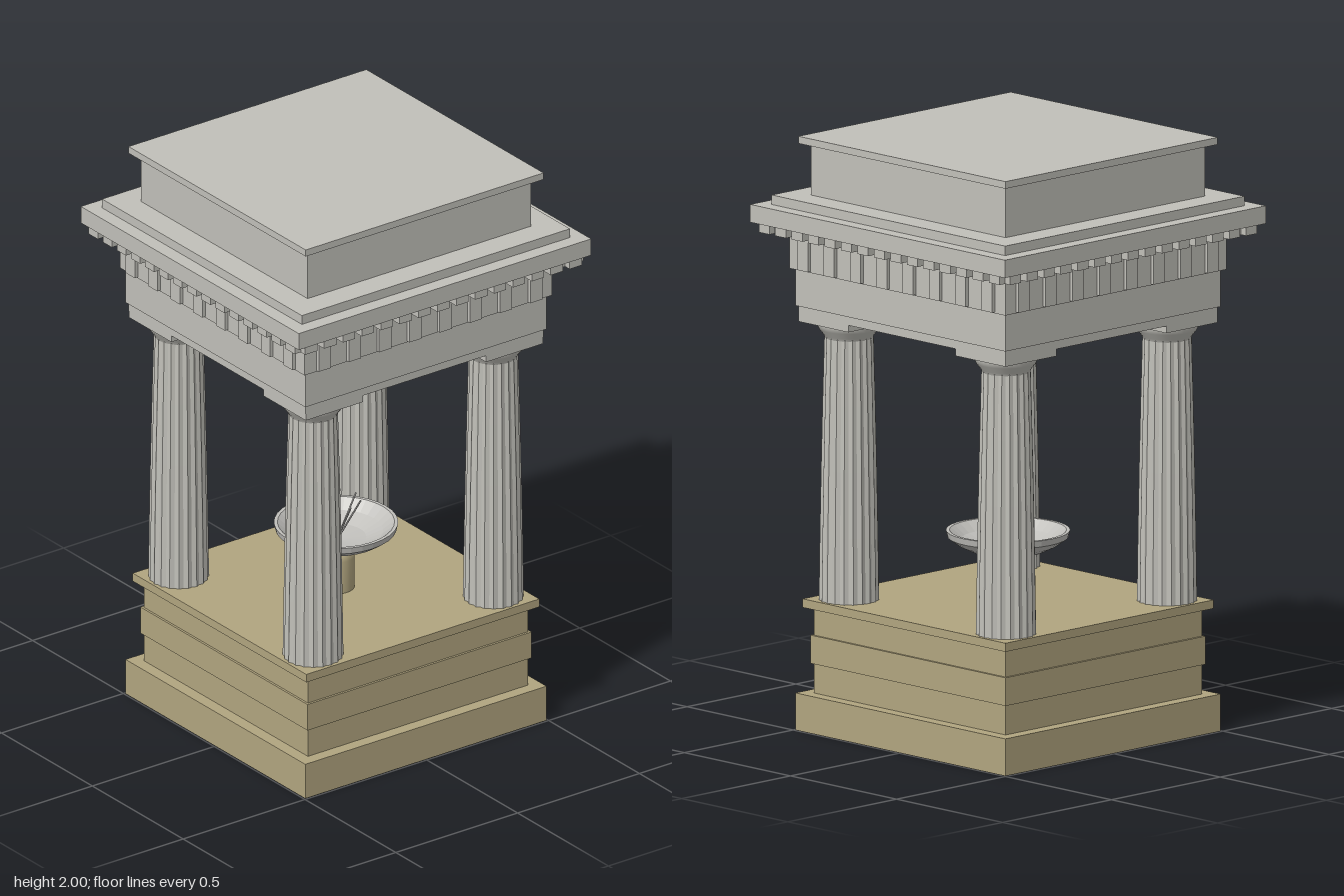
import * as THREE from 'three';

const stone = new THREE.MeshStandardMaterial({ color: 0xc1c0b9 });
stone.name = 'pale stone';
const fluted = new THREE.MeshStandardMaterial({ color: 0xc1c0b9, flatShading: true });
fluted.name = 'column stone';
const sand = new THREE.MeshStandardMaterial({ color: 0xb1a57f });
sand.name = 'sandstone';
const basinStone = new THREE.MeshStandardMaterial({ color: 0xc1c0bc, side: THREE.DoubleSide, flatShading: true });
basinStone.name = 'basin stone';

function add(parent, name, geometry, material, x = 0, y = 0, z = 0) {
  const mesh = new THREE.Mesh(geometry, material);
  mesh.name = name;
  mesh.position.set(x, y, z);
  parent.add(mesh);
  return mesh;
}

// Square slab between two heights
function slab(parent, name, half, y0, y1, material, x = 0, z = 0) {
  return add(parent, name, new THREE.BoxGeometry(half * 2, y1 - y0, half * 2), material, x, (y0 + y1) / 2, z);
}

// Tapered shaft whose alternate edges are pushed in to form flutes
function flutedShaft(height) {
  const sides = 40;
  const geo = new THREE.CylinderGeometry(1, 1, height, sides, 4, true);
  const pos = geo.attributes.position;
  for (let i = 0; i < pos.count; i++) {
    const t = pos.getY(i) / height + 0.5;
    const groove = (i % (sides + 1)) % 2 ? 0.94 : 1;
    const r = (0.1 - 0.011 * t - 0.007 * t * t) * groove;
    pos.setX(i, pos.getX(i) * r);
    pos.setZ(i, pos.getZ(i) * r);
  }
  geo.computeVertexNormals();
  return geo;
}

// Repeats blocks along all four sides
function blockRow(parent, name, count, step, size, y, out) {
  const row = new THREE.Group();
  row.name = name + 's';
  for (let side = 0; side < 4; side++) {
    const edge = new THREE.Group();
    edge.name = name + 'Side';
    edge.rotation.y = side * Math.PI / 2;
    for (let i = 0; i < count; i++) {
      add(edge, name, new THREE.BoxGeometry(...size), stone, (i - (count - 1) / 2) * step, y, out);
    }
    row.add(edge);
  }
  parent.add(row);
}

export function createModel() {
  const model = new THREE.Group();
  model.name = 'fountainPavilion';

  // Stepped pedestal
  slab(model, 'plinth', 0.495, 0, 0.125, sand);
  slab(model, 'lowerCourse', 0.452, 0.125, 0.225, sand);
  slab(model, 'middleCourse', 0.46, 0.225, 0.32, sand);
  slab(model, 'upperCourse', 0.452, 0.32, 0.413, sand);
  slab(model, 'floorSlab', 0.478, 0.413, 0.442, sand);

  // Four columns with capitals
  const shaft = flutedShaft(0.888);
  const echinus = new THREE.LatheGeometry(
    [[0.08, 1.325], [0.084, 1.335], [0.099, 1.355], [0.105, 1.368], [0.105, 1.378]]
      .map(p => new THREE.Vector2(...p)), 32);
  for (const x of [-0.37, 0.37]) {
    for (const z of [-0.37, 0.37]) {
      const column = new THREE.Group();
      column.name = 'column';
      column.position.set(x, 0, z);
      add(column, 'shaft', shaft, fluted, 0, 0.442 + 0.444, 0);
      add(column, 'echinus', echinus, stone);
      slab(column, 'abacus', 0.117, 1.376, 1.401, stone);
      model.add(column);
    }
  }

  // Entablature
  slab(model, 'architraveSoffit', 0.488, 1.4, 1.43, stone);
  slab(model, 'architrave', 0.495, 1.43, 1.555, stone);
  slab(model, 'frieze', 0.508, 1.555, 1.675, stone);
  blockRow(model, 'friezeBlock', 8, 0.124, [0.05, 0.108, 0.014], 1.613, 0.514);
  blockRow(model, 'dentil', 15, 0.0775, [0.05, 0.03, 0.084], 1.695, 0.55);
  slab(model, 'cornice', 0.6, 1.71, 1.77, stone);
  slab(model, 'corniceStep', 0.55, 1.77, 1.802, stone);

  // Attic block and lid
  slab(model, 'attic', 0.458, 1.802, 1.976, stone);
  slab(model, 'roofSlab', 0.488, 1.976, 2, stone);

  // Fountain: stem, bowl and jets
  const fountain = new THREE.Group();
  fountain.name = 'fountain';
  add(fountain, 'stem', new THREE.LatheGeometry(
    [[0.061, 0.44], [0.061, 0.555], [0.052, 0.572], [0.04, 0.585], [0.04, 0.6]]
      .map(p => new THREE.Vector2(...p)), 24), sand);
  add(fountain, 'bowl', new THREE.LatheGeometry(
    [[0, 0.585], [0.04, 0.588], [0.12, 0.608], [0.165, 0.63], [0.2, 0.655], [0.205, 0.677],
      [0.193, 0.677], [0.155, 0.646], [0.1, 0.622], [0, 0.612]]
      .map(p => new THREE.Vector2(...p)), 32), basinStone);
  const up = new THREE.Vector3(0, 1, 0);
  for (let i = 0; i < 8; i++) {
    const a = i * Math.PI / 4;
    const dir = new THREE.Vector3(Math.cos(a), 0, Math.sin(a));
    const start = dir.clone().multiplyScalar(0.004).setY(0.613);
    const end = dir.clone().multiplyScalar(0.082).setY(0.76);
    const jet = add(fountain, 'jet', new THREE.CylinderGeometry(0.003, 0.003, start.distanceTo(end), 6), basinStone);
    jet.position.copy(start).lerp(end, 0.5);
    jet.quaternion.setFromUnitVectors(up, end.sub(start).normalize());
  }
  model.add(fountain);

  return model;
}
